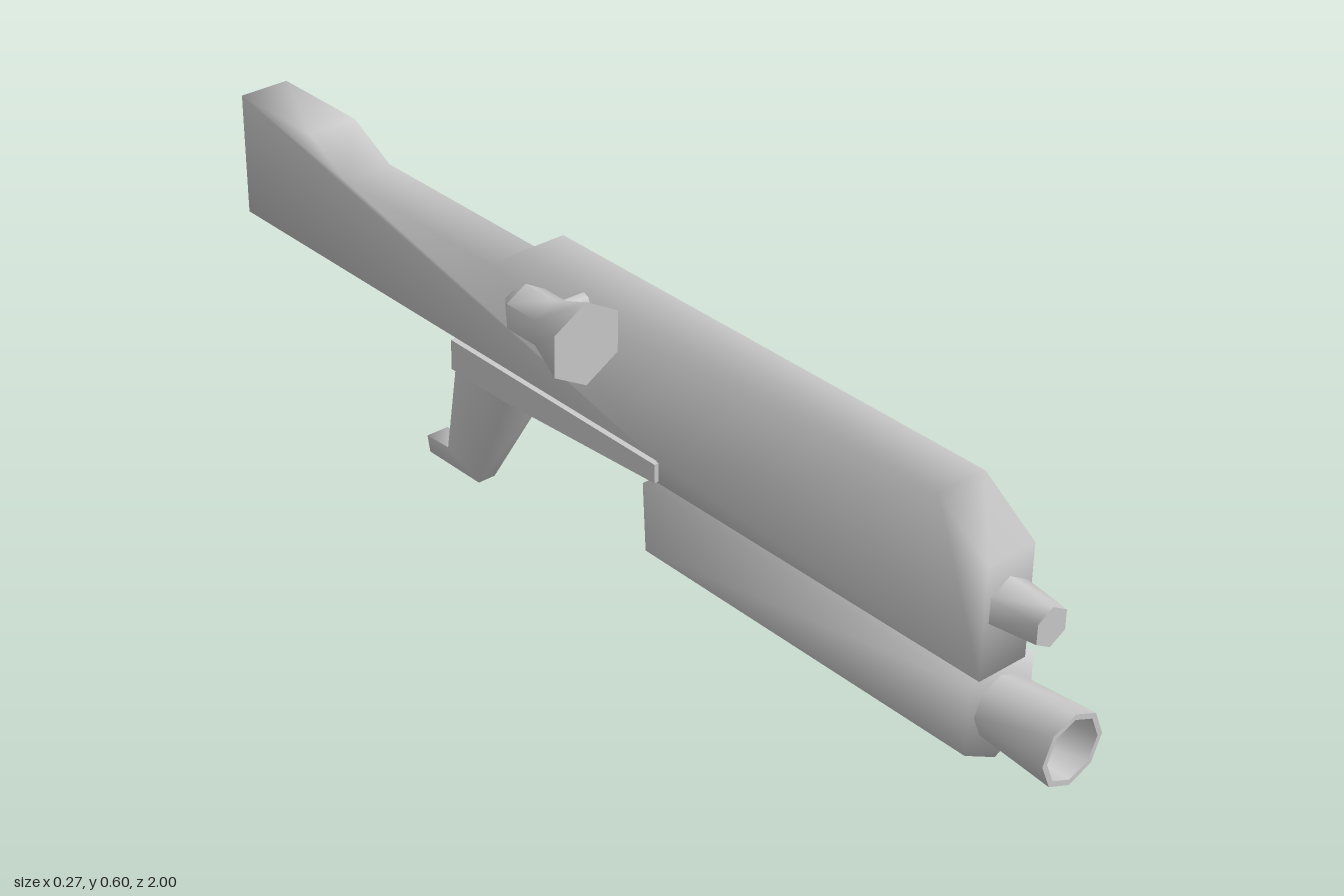
import * as THREE from 'three';
import { toCreasedNormals } from 'three/addons/utils/BufferGeometryUtils.js';

const CX = 0.068; // centre line of the long body
const SOFT = 1.65; // blends right-angled edges
const HARD = 1.1; // blends only the sides of round parts

const material = new THREE.MeshStandardMaterial({ color: 0xcccccc });

function addPart(group, name, geometry, crease) {
  const mesh = new THREE.Mesh(toCreasedNormals(geometry, crease), material);
  mesh.name = name;
  group.add(mesh);
}

function shapeOf(points) {
  return new THREE.Shape(points.map(([a, b]) => new THREE.Vector2(a, b)));
}

// Slab from a side outline of [z, y] points, centred on the body
function slab(points, width) {
  return new THREE.ExtrudeGeometry(shapeOf(points), { depth: width, bevelEnabled: false })
    .translate(0, 0, -width / 2)
    .rotateY(-Math.PI / 2)
    .translate(CX, 0, 0);
}

// Faceted turned part along z from [radius, z] points, rear to front
function turned(points, sides, x, y) {
  return new THREE.LatheGeometry(points.map(([r, z]) => new THREE.Vector2(r, z)), sides)
    .rotateX(Math.PI / 2)
    .translate(x, y, 0);
}

export function createModel() {
  const model = new THREE.Group();
  model.name = 'launcher';

  // Main body with the stock in one outline
  addPart(model, 'bodyAndStock', slab([
    [0.855, 0.262], [0.855, 0.465], [0.75, 0.537], [-0.21, 0.537], [-0.275, 0.485],
    [-0.69, 0.485], [-0.79, 0.537], [-1, 0.537], [-1, 0.302], [0.14, 0.302], [0.14, 0.262],
  ], 0.098), SOFT);

  // Keel-shaped housing under the body, its rear face leaning slightly
  const housing = new THREE.ExtrudeGeometry(shapeOf([
    [0, 0.262], [0, 0.136], [CX, 0.1], [0.136, 0.136], [0.136, 0.262],
  ]), { depth: 0.72, bevelEnabled: false }).translate(0, 0, 0.135);
  const hp = housing.attributes.position;
  for (let i = 0; i < hp.count; i++) {
    if (hp.getZ(i) < 0.5) hp.setZ(i, 0.147 - 0.07 * hp.getY(i));
  }
  addPart(model, 'lowerHousing', housing, SOFT);

  // Hollow lower muzzle and small upper barrel
  addPart(model, 'lowerMuzzle', turned([
    [0.054, 0.85], [0.064, 1], [0.054, 1], [0.044, 0.87], [0, 0.87],
  ], 8, CX, 0.198), HARD);
  addPart(model, 'upperBarrel', turned([
    [0.045, 0.85], [0.035, 0.94], [0, 0.94],
  ], 6, CX, 0.383), HARD);

  // Bracket carrying the grip
  addPart(model, 'gripBracket', slab([
    [0.145, 0.3], [0.145, 0.265], [-0.24, 0.242], [-0.385, 0.242], [-0.385, 0.3],
  ], 0.115), HARD);

  // Raked grip, narrowing towards the foot
  const grip = slab([
    [-0.235, 0.25], [-0.367, 0.002], [-0.508, 0], [-0.508, 0.036], [-0.447, 0.04], [-0.378, 0.25],
  ], 1);
  const gp = grip.attributes.position;
  for (let i = 0; i < gp.count; i++) {
    gp.setX(i, CX + (gp.getX(i) - CX) * (0.035 + 0.29 * gp.getY(i)));
  }
  addPart(model, 'grip', grip, SOFT);

  // Side-mounted sight with its arm
  addPart(model, 'sight', turned([
    [0, -0.117], [0.014, -0.117], [0.045, -0.08], [0.045, -0.01], [0.075, 0.07], [0, 0.07],
  ], 6, -0.069, 0.52), HARD);
  addPart(model, 'sightArm', new THREE.CylinderGeometry(0.015, 0.015, 0.1, 8)
    .rotateZ(Math.PI / 2)
    .translate(-0.02, 0.52, -0.04), HARD);

  return model;
}
